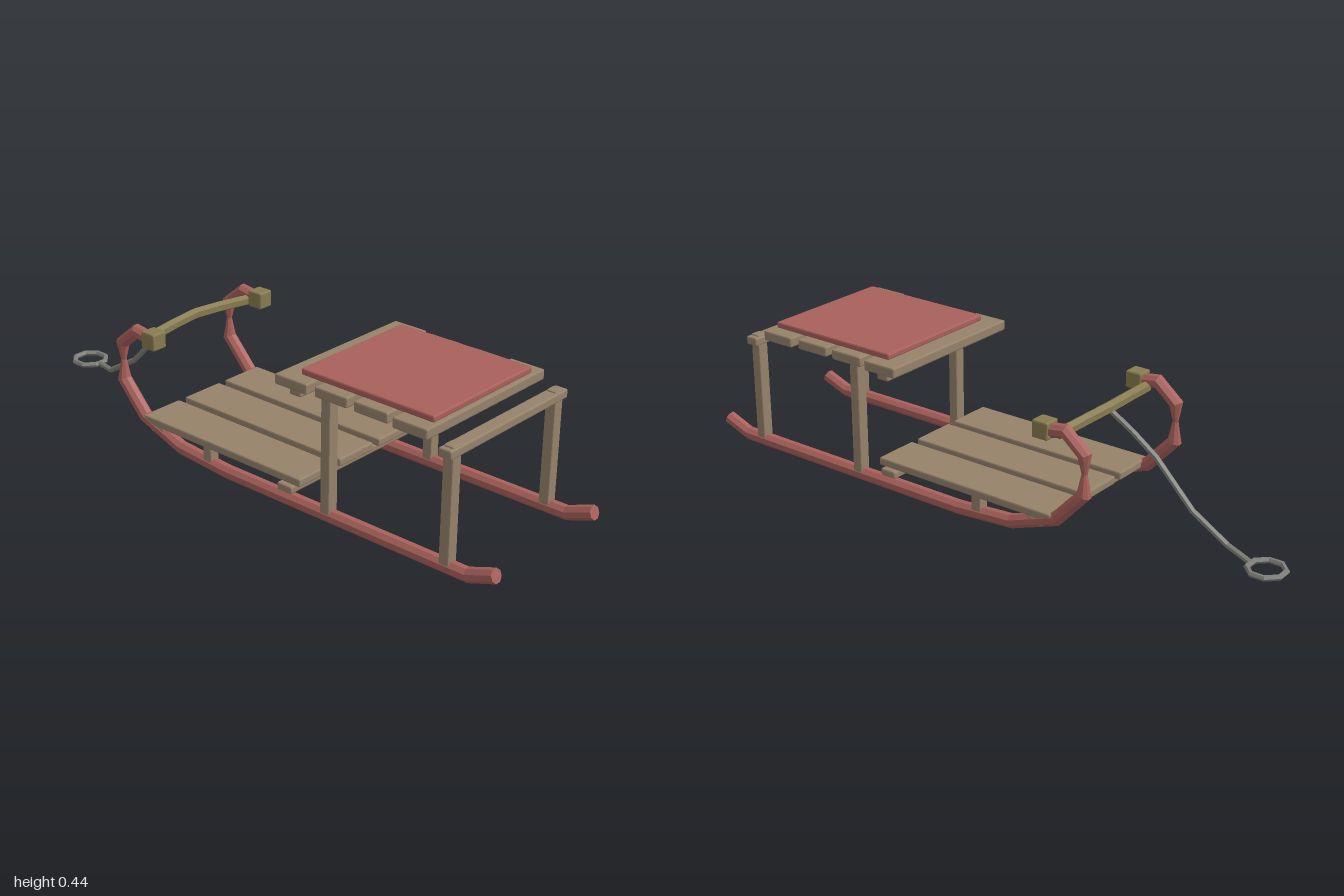
import * as THREE from 'three';
import { RoundedBoxGeometry } from 'three/addons/geometries/RoundedBoxGeometry.js';

const material = (name, color) => {
  const m = new THREE.MeshStandardMaterial({ color, flatShading: true });
  m.name = name;
  return m;
};

// Faceted bar swept along points [x, y, z, scale]; side is the cross-section's first axis
function sweep(points, radius, sides, side) {
  const P = points.map(p => new THREE.Vector3(p[0], p[1], p[2]));
  const rings = P.map((p, i) => {
    const prev = P[Math.max(i - 1, 0)], next = P[Math.min(i + 1, P.length - 1)];
    const t = new THREE.Vector3();
    if (i > 0) t.add(p.clone().sub(prev).normalize());
    if (i < P.length - 1) t.add(next.clone().sub(p).normalize());
    t.normalize();
    const n = t.clone().cross(side).normalize();
    const s = n.clone().cross(t);
    const r = radius * (points[i][3] ?? 1);
    return Array.from({ length: sides }, (_, j) => {
      const a = ((j + 0.5) / sides) * Math.PI * 2;
      return p.clone().addScaledVector(s, r * Math.cos(a)).addScaledVector(n, r * Math.sin(a));
    });
  });
  const tris = [];
  const last = rings.length - 1;
  for (let j = 0; j < sides; j++) {
    const k = (j + 1) % sides;
    for (let i = 0; i < last; i++) {
      const A = rings[i], B = rings[i + 1];
      tris.push(A[j], A[k], B[j], A[k], B[k], B[j]);
    }
    tris.push(P[0], rings[0][k], rings[0][j], P[last], rings[last][j], rings[last][k]);
  }
  const g = new THREE.BufferGeometry().setFromPoints(tris);
  g.computeVertexNormals();
  return g;
}

export function createModel() {
  const wood = material('wood', 0x95826a);
  const red = material('red paint', 0xa9605a);
  const olive = material('olive wood', 0x877c50);
  const rope = material('grey rope', 0x80807a);

  const model = new THREE.Group();
  model.name = 'sled';
  const add = (name, geometry, mat) => {
    const mesh = new THREE.Mesh(geometry, mat);
    mesh.name = name;
    model.add(mesh);
    return mesh;
  };
  // Chamfered block given by its extents on each axis
  const block = (name, x0, x1, y0, y1, z0, z1, mat, bevel = 0.005) => {
    const g = new RoundedBoxGeometry(x1 - x0, y1 - y0, z1 - z0, 1, bevel);
    g.translate((x0 + x1) / 2, (y0 + y1) / 2, (z0 + z1) / 2);
    return add(name, g, mat);
  };
  const X = new THREE.Vector3(1, 0, 0), Z = new THREE.Vector3(0, 0, 1);

  for (const s of [-1, 1]) {
    const x = s * 0.237;
    // Runner with curled front, pinched along the upright of the curl
    add('runner', sweep([
      [x, 0.06, 0.99], [x, 0.027, 0.9], [x, 0.025, 0], [x, 0.04, -0.2],
      [x, 0.097, -0.36], [x, 0.2, -0.455], [x, 0.265, -0.455, 0.4],
      [x, 0.322, -0.455], [x, 0.378, -0.388], [x, 0.37, -0.34],
    ], 0.0225, 8, X), red);
    // Seat posts
    for (const z of [0.4, 0.828]) {
      block('seatPost', x - 0.019, x + 0.019, 0.03, z > 0.5 ? 0.397 : 0.4, z - 0.017, z + 0.017, wood, 0.004);
    }
    block('deckPost', x - 0.018, x + 0.018, 0.03, 0.09, -0.092, -0.058, wood, 0.004);
    block('handleKnob', x - 0.027, x + 0.027, 0.343, 0.398, -0.342, -0.287, olive);
  }

  // Lower deck: three long slats on two cross beams
  for (const [x0, x1] of [[-0.257, -0.104], [-0.077, 0.077], [0.104, 0.257]]) {
    block('deckSlat', x0, x1, 0.086, 0.112, -0.35, 0.305, wood);
  }
  block('deckBeam', -0.272, 0.272, 0.062, 0.086, 0.23, 0.286, wood);
  block('deckBeam', -0.255, 0.255, 0.064, 0.088, -0.322, -0.266, wood);

  // Raised seat: four cross slats and the bars below
  [[0.222, 0.342, 0.272], [0.365, 0.483, 0.264], [0.508, 0.627, 0.264], [0.65, 0.768, 0.272]]
    .forEach(([z0, z1, w]) => block('seatSlat', -w, w, 0.396, 0.429, z0, z1, wood));
  block('seatBeam', -0.255, 0.255, 0.371, 0.398, 0.263, 0.306, wood);
  block('backBar', -0.272, 0.272, 0.364, 0.392, 0.806, 0.85, wood);
  block('cushion', -0.226, 0.226, 0.427, 0.448, 0.282, 0.755, red);

  // Arched handlebar
  add('handlebar', sweep([
    [-0.225, 0.358, -0.355], [-0.1, 0.366, -0.367], [0, 0.37, -0.374],
    [0.1, 0.366, -0.367], [0.225, 0.358, -0.355],
  ], 0.018, 6, Z), olive);

  // Pull rope and end ring
  add('pullRope', sweep([
    [0, 0.362, -0.375], [0, 0.315, -0.455], [0, 0.255, -0.54], [0, 0.122, -0.67],
    [0, 0.05, -0.79], [0.03, 0.038, -0.882],
  ], 0.0095, 6, X), rope);
  const ring = new THREE.TorusGeometry(0.056, 0.009, 6, 8);
  ring.rotateZ(Math.PI / 8).rotateX(Math.PI / 2).translate(0.035, 0.037, -0.938);
  add('pullRing', ring, rope);

  return model;
}
